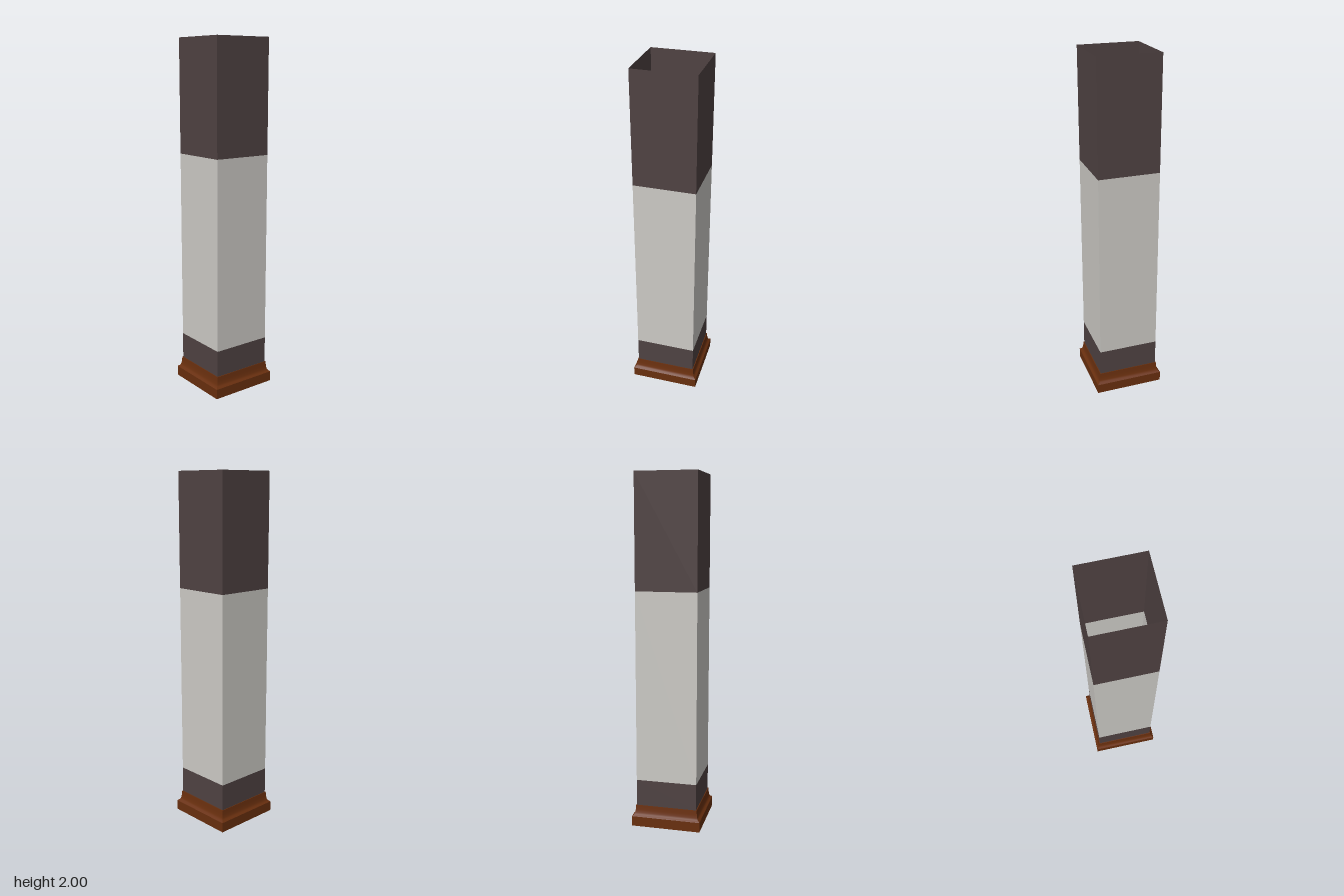
import * as THREE from 'three';
import { toCreasedNormals } from 'three/addons/utils/BufferGeometryUtils.js';

// Sweeps a [half-width, height] profile around a square plan
function squareSweep(profile) {
  const points = profile.map(([half, y]) => new THREE.Vector2(half * Math.SQRT2, y));
  const geometry = new THREE.LatheGeometry(points, 4, Math.PI / 4);
  return toCreasedNormals(geometry, 0.6);
}

function makeMaterial(name, color, side = THREE.FrontSide) {
  const material = new THREE.MeshStandardMaterial({ color, side });
  material.name = name;
  return material;
}

export function createModel() {
  const group = new THREE.Group();
  group.name = 'squareColumn';

  const dark = makeMaterial('darkBrownPaint', 0x4f4242, THREE.DoubleSide);
  const pale = makeMaterial('paleGreyPaint', 0xcccac5, THREE.DoubleSide);
  const wood = makeMaterial('brownWood', 0x692f0e, THREE.DoubleSide);

  function add(name, profile, material) {
    const mesh = new THREE.Mesh(squareSweep(profile), material);
    mesh.name = name;
    group.add(mesh);
  }

  // Open shaft of thin walls in three painted bands
  const half = 0.175;
  const bands = [
    ['lowerBand', 0.12, 0.272, dark],
    ['middleBand', 0.272, 1.36, pale],
    ['upperBand', 1.36, 2, dark],
  ];
  for (const [name, bottom, top, material] of bands) {
    add(name, [[half, bottom], [half, top]], material);
  }

  // Moulded skirting: plain plinth, small step, hollow curve and flat top
  add('baseMoulding', [
    [0.177, 0], [0.2, 0], [0.2, 0.057], [0.195, 0.062], [0.188, 0.067],
    [0.184, 0.077], [0.181, 0.095], [0.179, 0.12], [half, 0.12], [0.177, 0],
  ], wood);

  return group;
}
